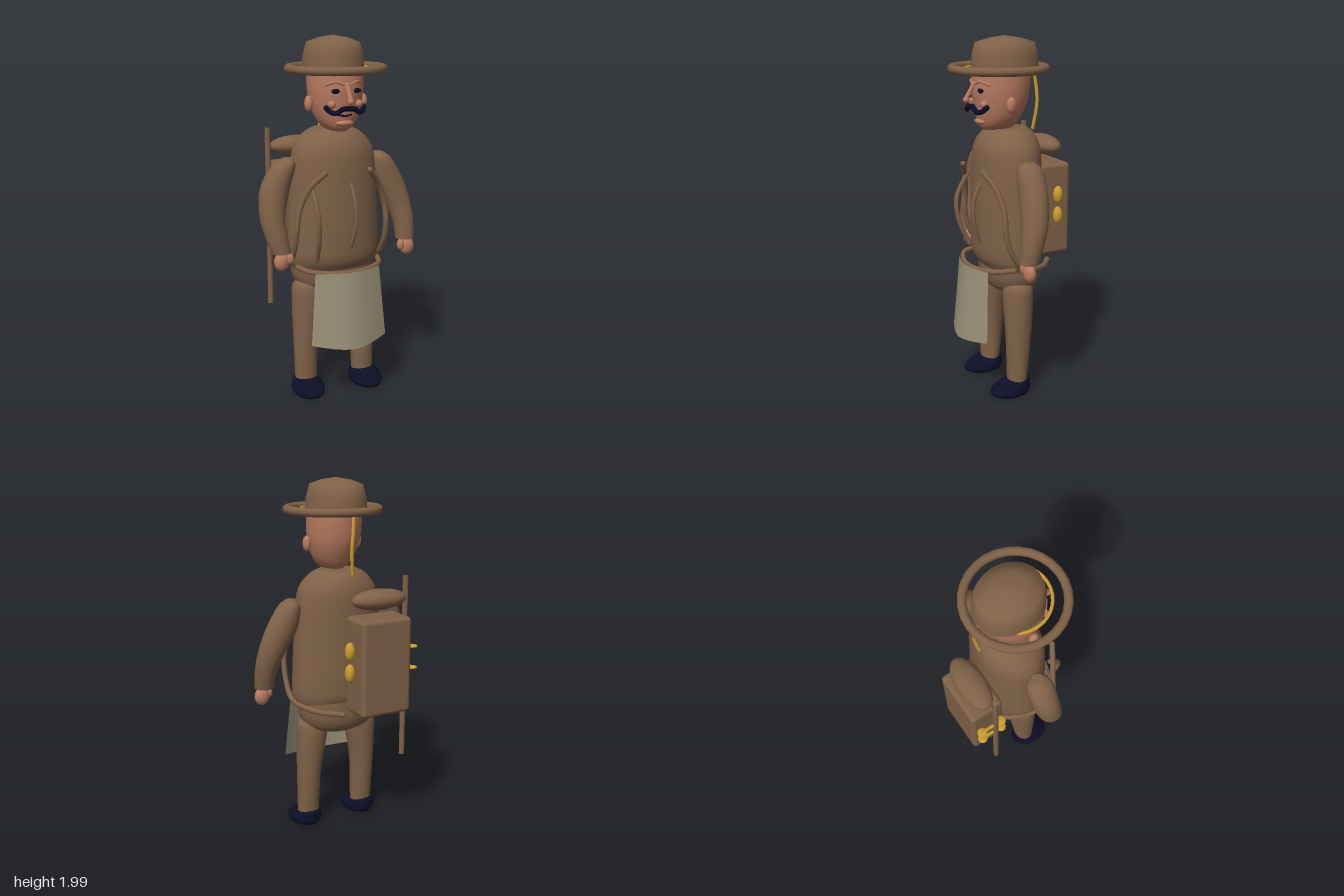
import * as THREE from 'three';
import { RoundedBoxGeometry } from 'three/addons/geometries/RoundedBoxGeometry.js';

const CX = -0.02; // middle line of the body

export function createModel() {
  const model = new THREE.Group();
  model.name = 'traveller';
  const mat = (name, color, side = THREE.FrontSide) =>
    Object.assign(new THREE.MeshStandardMaterial({ color, side }), { name });
  const brown = mat('brown cloth', 0x7f6147);
  const skin = mat('skin', 0xb87a5f);
  const gold = mat('gold', 0xc99c2e);
  const navy = mat('dark navy', 0x0d0d26);
  const linen = mat('linen', 0x9a9078, THREE.DoubleSide);

  const add = (name, geometry, material) => {
    const mesh = new THREE.Mesh(geometry, material);
    mesh.name = name;
    model.add(mesh);
    return mesh;
  };
  const ball = (name, material, pos, radii, seg = 16) => {
    const mesh = add(name, new THREE.SphereGeometry(1, seg, Math.max(8, seg * 0.75)), material);
    mesh.position.set(...pos);
    mesh.scale.set(...radii);
    return mesh;
  };
  // tube along a smooth path, closed with round ends
  const cord = (name, material, pts, r) => {
    const path = pts.map(p => new THREE.Vector3(...p));
    add(name, new THREE.TubeGeometry(new THREE.CatmullRomCurve3(path), 28, r, 8), material);
    for (const p of [pts[0], pts[pts.length - 1]]) ball(name + 'End', material, p, [r, r, r], 8);
  };
  // skin over horizontal ellipses, listed bottom to top as [y, cx, cz, rx, rz]
  const loft = (name, material, rings, smooth = true, seg = 28) => {
    let rows = rings;
    if (smooth) {
      const a = new THREE.CatmullRomCurve3(rings.map(r => new THREE.Vector3(r[0], r[1], r[2])), false, 'catmullrom');
      const b = new THREE.CatmullRomCurve3(rings.map(r => new THREE.Vector3(r[3], r[4], 0)), false, 'catmullrom');
      const n = (rings.length - 1) * 4;
      rows = Array.from({ length: n + 1 }, (_, i) => {
        const p = a.getPoint(i / n), q = b.getPoint(i / n);
        return [p.x, p.y, p.z, q.x, q.y];
      });
    }
    const first = rows[0], last = rows[rows.length - 1];
    rows = [[...first.slice(0, 3), 0, 0], first, ...rows, last, [...last.slice(0, 3), 0, 0]];
    const pos = [], index = [];
    rows.forEach(([y, cx, cz, rx, rz], i) => {
      for (let j = 0; j < seg; j++) {
        const t = (j / seg) * Math.PI * 2;
        pos.push(cx + rx * Math.cos(t), y, cz + rz * Math.sin(t));
        if (i === rows.length - 1) continue;
        const p = i * seg + j, q = i * seg + (j + 1) % seg;
        index.push(p, p + seg, q, q, p + seg, q + seg);
      }
    });
    const g = new THREE.BufferGeometry();
    g.setAttribute('position', new THREE.Float32BufferAttribute(pos, 3));
    g.setIndex(index);
    g.computeVertexNormals();
    return add(name, g, material);
  };

  // body
  loft('torso', brown, [
    [0.74, CX, 0.035, 0.24, 0.145], [0.8, CX, 0.035, 0.265, 0.175], [0.9, CX, 0.035, 0.267, 0.182],
    [1.1, CX, 0.035, 0.257, 0.182], [1.3, CX, 0.033, 0.245, 0.18], [1.41, CX, 0.03, 0.222, 0.172],
    [1.48, CX, 0.025, 0.165, 0.14], [1.51, CX, 0.02, 0.11, 0.1],
  ]);
  loft('hips', brown, [
    [0.585, CX, 0.02, 0.11, 0.08], [0.62, CX, 0.018, 0.195, 0.13],
    [0.69, CX, 0.018, 0.235, 0.155], [0.78, CX, 0.02, 0.245, 0.155],
  ]);

  // legs and shoes
  for (const s of [-1, 1]) {
    loft('leg', brown, [
      [0.07, CX + s * 0.177, 0.057, 0.063, 0.055], [0.35, CX + s * 0.175, 0.046, 0.07, 0.074],
      [0.56, CX + s * 0.158, 0.04, 0.09, 0.084], [0.64, CX + s * 0.15, 0.038, 0.09, 0.078],
      [0.68, CX + s * 0.145, 0.036, 0.05, 0.045],
    ]);
    const x = CX + s * 0.18;
    loft('shoe', navy, [
      [0.01, x, 0.102, 0.082, 0.11], [0.03, x, 0.1, 0.091, 0.12], [0.055, x, 0.085, 0.086, 0.103],
      [0.08, x, 0.06, 0.068, 0.075], [0.095, x, 0.05, 0.045, 0.05],
    ]);
  }

  // arms and hands
  loft('leftArm', brown, [
    [0.86, 0.397, 0.11, 0.053, 0.053], [0.95, 0.395, 0.092, 0.06, 0.062], [1.06, 0.372, 0.065, 0.075, 0.07],
    [1.2, 0.315, 0.045, 0.09, 0.075], [1.32, 0.27, 0.04, 0.062, 0.07], [1.36, 0.258, 0.04, 0.025, 0.035],
  ]);
  loft('rightArm', brown, [
    [0.86, -0.355, 0.11, 0.053, 0.053], [0.95, -0.375, 0.092, 0.062, 0.062], [1.06, -0.386, 0.065, 0.07, 0.07],
    [1.2, -0.362, 0.045, 0.082, 0.075], [1.32, -0.31, 0.04, 0.065, 0.07], [1.36, -0.285, 0.04, 0.03, 0.035],
  ]);
  for (const [x, s] of [[0.41, 1], [-0.355, -1]]) {
    ball('hand', skin, [x, 0.81, 0.115], [0.043, 0.052, 0.032]);
    ball('thumb', skin, [x - s * 0.045, 0.825, 0.125], [0.022, 0.034, 0.021]);
  }

  // head
  loft('head', skin, [
    [1.505, CX, 0.09, 0.045, 0.075], [1.53, CX, 0.085, 0.085, 0.105], [1.58, CX, 0.077, 0.118, 0.127],
    [1.65, CX, 0.068, 0.14, 0.148], [1.72, CX, 0.065, 0.149, 0.16], [1.8, CX, 0.06, 0.151, 0.162],
    [1.86, CX, 0.06, 0.147, 0.158],
  ]);
  ball('chin', skin, [CX, 1.552, 0.185], [0.05, 0.018, 0.03]);
  cord('nose', skin, [[CX, 1.755, 0.222], [CX, 1.71, 0.248], [CX, 1.68, 0.268]], 0.013);
  ball('noseTip', skin, [CX, 1.672, 0.268], [0.018, 0.018, 0.018]);
  cord('mouth', navy, [[CX - 0.035, 1.597, 0.198], [CX, 1.592, 0.207], [CX + 0.035, 1.597, 0.198]], 0.006);
  for (const s of [-1, 1]) {
    const x = d => CX + s * d;
    ball('ear', skin, [x(0.158), 1.65, 0.08], [0.022, 0.043, 0.028]);
    ball('cheek', skin, [x(0.077), 1.652, 0.2], [0.021, 0.021, 0.021]);
    ball('eye', navy, [x(0.06), 1.722, 0.212], [0.025, 0.013, 0.012]);
    cord('eyebrow', skin, [[x(0.022), 1.756, 0.224], [x(0.06), 1.769, 0.213], [x(0.102), 1.753, 0.182]], 0.007);
    cord('moustache', navy, [
      [x(0), 1.633, 0.23], [x(0.035), 1.63, 0.24], [x(0.065), 1.612, 0.235],
      [x(0.09), 1.617, 0.218], [x(0.108), 1.638, 0.198],
    ], 0.014);
  }

  // hat
  loft('hatCrown', brown, [
    [1.825, CX, 0.038, 0.163, 0.187], [1.9, CX, 0.038, 0.158, 0.183], [1.965, CX, 0.038, 0.138, 0.165],
    [1.987, CX, 0.04, 0.08, 0.09], [2.0, CX, 0.04, 0.004, 0.005],
  ], false);
  const flatRing = (name, material, R, r, start, arc, seg) => {
    const g = new THREE.TorusGeometry(R, r, 10, seg, arc);
    g.rotateZ(start);
    g.rotateX(Math.PI / 2);
    add(name, g, material).position.set(CX, 1.83, 0.075);
  };
  flatRing('hatBrim', brown, 0.252, 0.023, 0, Math.PI * 2, 28);
  flatRing('hatBand', gold, 0.176, 0.009, -0.55, Math.PI + 1.1, 32);
  cord('hatCord', gold, [[-0.03, 1.83, -0.135], [-0.02, 1.74, -0.152], [-0.01, 1.63, -0.155], [-0.025, 1.49, -0.138]], 0.01);

  // coat folds
  cord('coatFold', brown, [[0.015, 1.23, 0.205], [0.02, 1.12, 0.25], [0.025, 1.0, 0.25], [0.012, 0.87, 0.205]], 0.011);
  cord('coatFold', brown, [[-0.205, 1.23, 0.185], [-0.2, 1.1, 0.255], [-0.19, 0.97, 0.25], [-0.18, 0.82, 0.19]], 0.014);

  // shoulder straps running round the waist to the pack
  for (const s of [-1, 1]) {
    const at = (d, y, z) => [CX + s * d, y, z];
    cord('strap', brown, [
      at(0.13, 1.3, 0.235), at(0.2, 1.22, 0.195), at(0.25, 1.1, 0.17), at(0.267, 0.98, 0.168),
      at(0.27, 0.86, 0.13), at(0.268, 0.78, 0.06), at(0.2, 0.745, -0.09), at(0.08, 0.735, -0.19),
    ], 0.016);
  }

  // apron, bowed forward along the middle
  const apron = new THREE.PlaneGeometry(2, 1, 8, 4);
  const ap = apron.attributes.position;
  for (let i = 0; i < ap.count; i++) {
    const u = ap.getX(i), down = 0.5 - ap.getY(i), bow = 1 - Math.abs(u) ** 1.6;
    ap.setXYZ(i, CX + u * (0.19 + 0.033 * down), 0.758 - down * (0.398 + 0.028 * bow),
      0.24 + 0.025 * down + bow * (0.055 + 0.022 * down));
  }
  apron.computeVertexNormals();
  add('apron', apron, linen);
  cord('apronTie', brown, [
    [-0.26, 0.765, 0.11], [-0.225, 0.76, 0.2], [-0.12, 0.752, 0.255], [CX, 0.75, 0.27],
    [0.08, 0.752, 0.255], [0.185, 0.76, 0.2], [0.225, 0.765, 0.11],
  ], 0.015);

  // backpack with bedroll, pole and buckles
  add('backpack', new RoundedBoxGeometry(0.305, 0.535, 0.195, 3, 0.025), brown).position.set(-0.12, 1.018, -0.257);
  ball('bedroll', brown, [-0.12, 1.377, -0.256], [0.165, 0.056, 0.078], 18);
  const pole = add('walkingPole', new THREE.CylinderGeometry(0.016, 0.016, 1.04, 10, 1, true), brown);
  pole.position.set(-0.303, 0.97, -0.23);
  for (const y of [1.11, 0.99]) {
    ball('packButton', gold, [0.058, y, -0.258], [0.028, 0.052, 0.028], 12);
    for (const z of [-0.315, -0.195]) ball('poleBuckle', gold, [-0.302, y, z], [0.028, 0.01, 0.028], 12);
    cord('poleLoop', gold, [[-0.302, y, -0.322], [-0.302, y, -0.255], [-0.302, y, -0.188]], 0.01);
  }
  return model;
}
